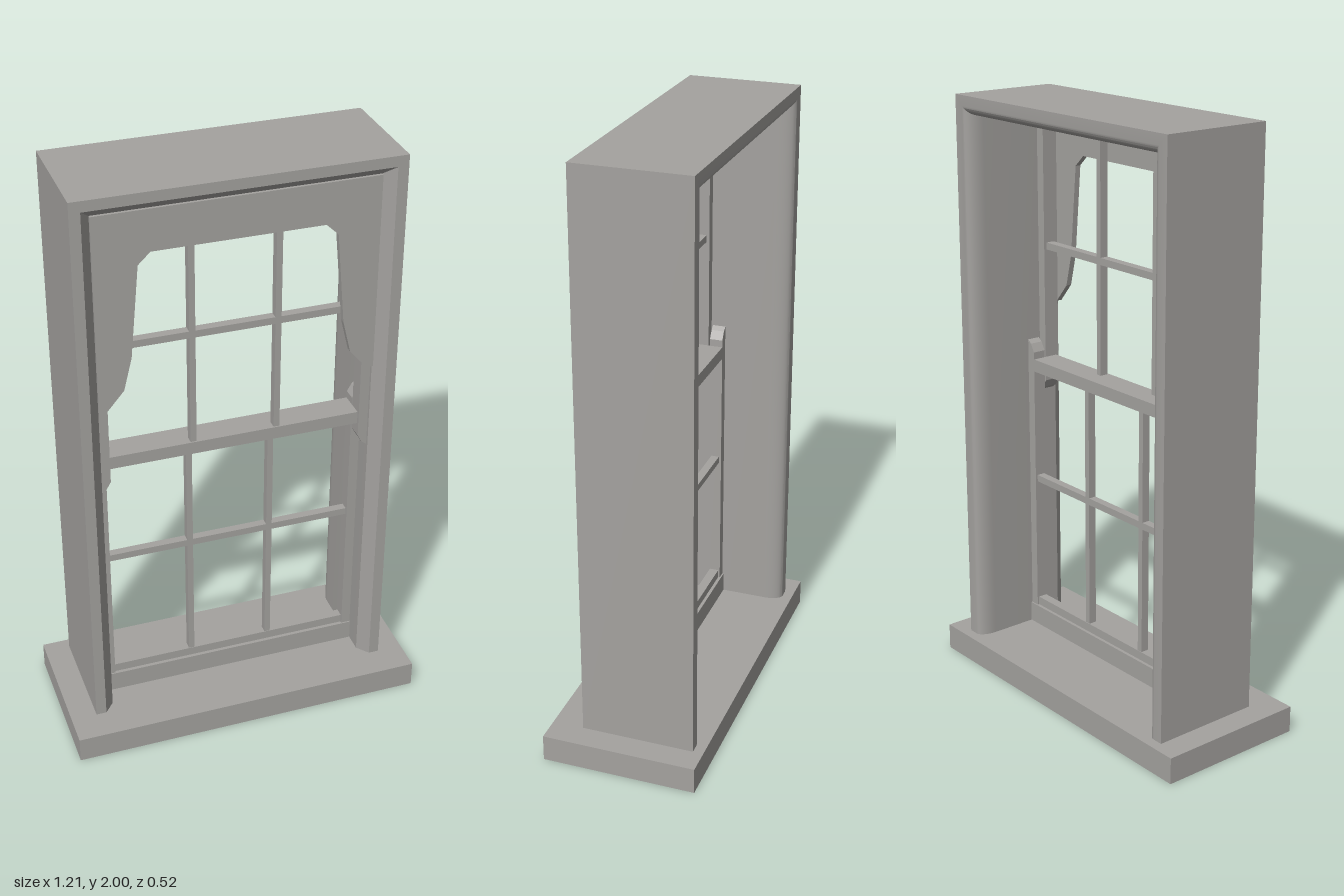
import * as THREE from 'three';
import { toCreasedNormals } from 'three/addons/utils/BufferGeometryUtils.js';

const stone = new THREE.MeshStandardMaterial({ color: 0xa4a29f });
stone.name = 'warm grey';

const INNER = 0.452;   // half width between the jambs
const OPEN = 0.42;     // half width between the sash stiles
const HEAD = 1.932;    // underside of the frame head

function add(parent, name, geometry) {
  const mesh = new THREE.Mesh(geometry, stone);
  mesh.name = name;
  parent.add(mesh);
  return mesh;
}

// Box given by its limits on each axis
function box(parent, name, x0, x1, y0, y1, z0, z1) {
  const mesh = add(parent, name, new THREE.BoxGeometry(x1 - x0, y1 - y0, z1 - z0));
  mesh.position.set((x0 + x1) / 2, (y0 + y1) / 2, (z0 + z1) / 2);
}

// Flat outline in x and y, extruded between two depths
function plate(parent, name, points, z0, z1) {
  const shape = new THREE.Shape(points.map(([x, y]) => new THREE.Vector2(x, y)));
  const geometry = new THREE.ExtrudeGeometry(shape, { depth: z1 - z0, bevelEnabled: false });
  add(parent, name, geometry.translate(0, 0, z0));
}

// Frame profile of [inset, z] swept up, across and down with mitred corners
function frameGeometry() {
  const profile = [[0, -0.225], [0, 0.155], [0.035, 0.155], [0.068, 0.115]];
  const steps = 8;
  for (let i = 0; i <= steps; i++) {
    const a = (i / steps) * Math.PI / 2;
    profile.push([0.035 + 0.033 * Math.cos(a), -0.165 - 0.06 * Math.sin(a)]);
  }
  const point = ([d, z], j) => {
    const side = j < 2 ? -1 : 1;
    return [side * (0.52 - d), j === 0 || j === 3 ? 0.09 : 2 - d, z];
  };
  const positions = [];
  for (let j = 0; j < 3; j++) {
    profile.forEach((p, i) => {
      const q = profile[(i + 1) % profile.length];
      const a = point(p, j), b = point(q, j), c = point(q, j + 1), d = point(p, j + 1);
      positions.push(...a, ...b, ...c, ...a, ...c, ...d);
    });
  }
  const geometry = new THREE.BufferGeometry();
  geometry.setAttribute('position', new THREE.Float32BufferAttribute(positions, 3));
  return toCreasedNormals(geometry, 0.5);
}

// One upright and two mullions plus a crossbar between the stiles
function glazingBars(parent, y0, y1, crossY, z0, z1) {
  for (const x of [-0.14, 0.14]) {
    box(parent, 'verticalGlazingBar', x - 0.01, x + 0.01, y0, y1, z0, z1);
  }
  box(parent, 'horizontalGlazingBar', -OPEN, OPEN, crossY - 0.012, crossY + 0.012, z0, z1);
}

export function createModel() {
  const model = new THREE.Group();
  model.name = 'sashWindow';

  box(model, 'sill', -0.607, 0.607, 0, 0.09, -0.26, 0.26);
  add(model, 'frame', frameGeometry());

  // Upper sash, in front, with horns below its meeting rail
  const upper = new THREE.Group();
  upper.name = 'upperSash';
  model.add(upper);
  for (const s of [-1, 1]) {
    plate(upper, 'upperStile', [
      [s * INNER, 0.96], [s * INNER, HEAD], [s * OPEN, HEAD], [s * OPEN, 1.0], [s * 0.436, 0.972],
    ], 0.05, 0.105);
  }
  box(upper, 'upperMeetingRail', -OPEN, OPEN, 1.042, 1.085, 0.05, 0.095);
  box(upper, 'topRail', -OPEN, OPEN, 1.895, HEAD, 0.05, 0.105);
  glazingBars(upper, 1.085, 1.895, 1.475, 0.06, 0.09);

  // Lower sash, behind, with horns above its meeting rail
  const lower = new THREE.Group();
  lower.name = 'lowerSash';
  model.add(lower);
  for (const s of [-1, 1]) {
    plate(lower, 'lowerStile', [
      [s * INNER, 0.09], [s * INNER, 1.15], [s * 0.436, 1.138], [s * OPEN, 1.11], [s * OPEN, 0.09],
    ], 0, 0.045);
  }
  box(lower, 'lowerMeetingRail', -OPEN, OPEN, 1.042, 1.085, 0, 0.05);
  box(lower, 'bottomRail', -OPEN, OPEN, 0.09, 0.19, 0.006, 0.038);
  box(lower, 'bottomLedge', -INNER, INNER, 0.09, 0.16, -0.005, 0.05);
  glazingBars(lower, 0.19, 1.042, 0.647, 0.008, 0.036);

  // Shaped valance with side drops behind the front edge of the frame
  const half = [[0.275, 1.795], [0.315, 1.757], [0.343, 1.45], [0.37, 1.34], [0.425, 1.275], [INNER, 1.27], [INNER, HEAD]];
  const mirrored = half.map(([x, y]) => [-x, y]).reverse();
  plate(model, 'valance', [...half, ...mirrored], 0.105, 0.125);

  return model;
}
